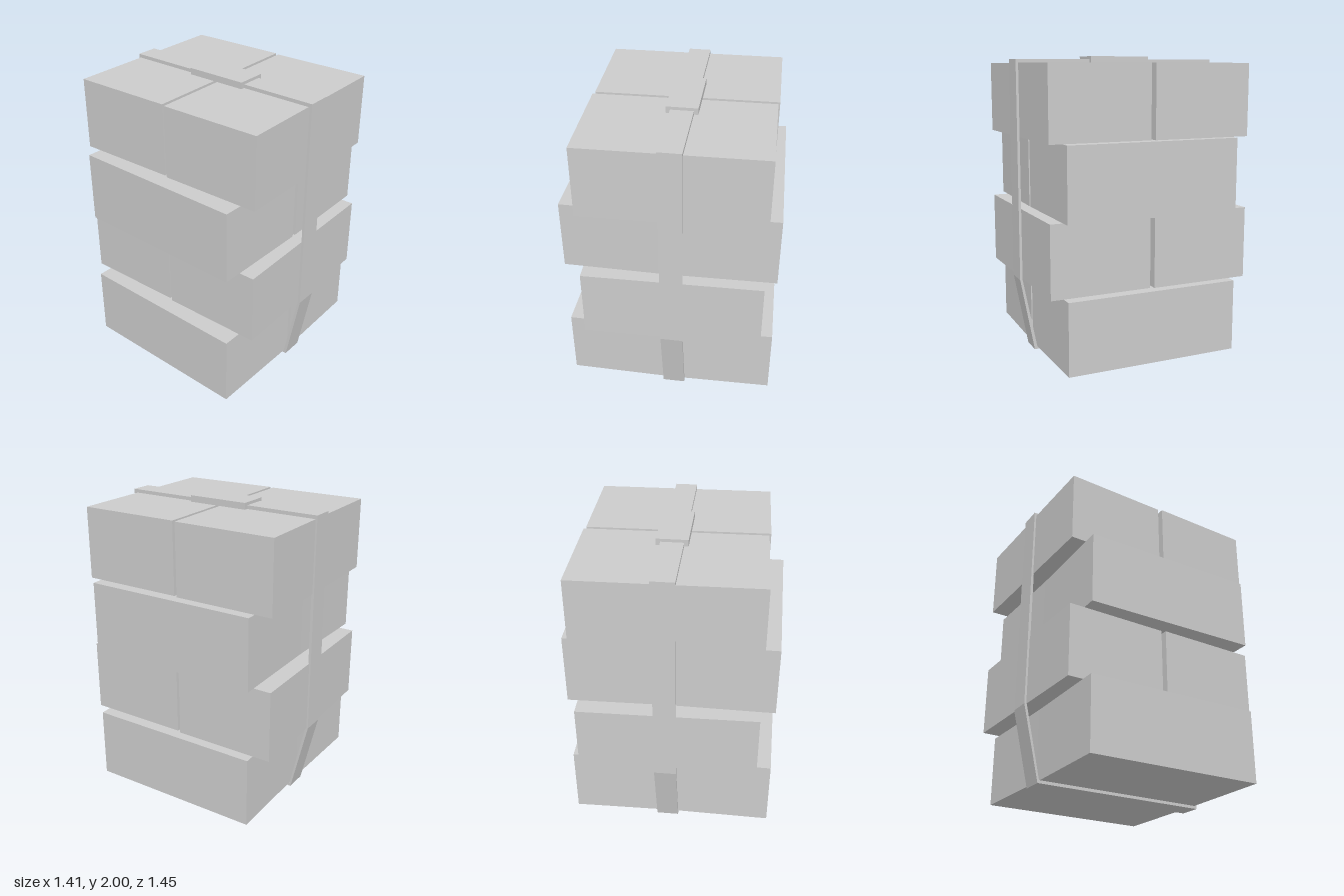
import * as THREE from 'three';

const material = new THREE.MeshStandardMaterial({ color: 0xcccccc, flatShading: true });

export function createModel() {
  const group = new THREE.Group();
  group.name = 'strappedBlockStack';

  const add = (name, geometry, x = 0, y = 0, z = 0, turn = 0) => {
    const mesh = new THREE.Mesh(geometry, material);
    mesh.name = name;
    mesh.position.set(x, y, z);
    mesh.rotation.y = turn;
    group.add(mesh);
  };

  // Four layers of paired blocks, alternating direction, each slightly askew
  const layerHeight = 0.484, base = 0.02, tilt = 0.0165;
  const block = new THREE.BoxGeometry(1.2, layerHeight, 0.69);
  for (let i = 0; i < 4; i++) {
    const y = base + layerHeight * (i + 0.5);
    if (i % 2 === 0) {
      add('leftBlock', block, 0.346, y, 0.008, Math.PI / 2 + tilt);
      add('rightBlock', block, -0.35, y, 0.008, Math.PI / 2 - tilt);
    } else {
      add('frontBlock', block, 0.018, y, 0.354, tilt);
      add('backBlock', block, 0.018, y, -0.362, tilt);
    }
  }

  // Strap: closed loop in the z-y plane, extruded across its width
  const points = (list) => list.map(([z, y]) => new THREE.Vector2(z, y));
  const loop = new THREE.Shape(points([
    [0.63, 0], [0.725, 0.505], [0.725, 1.98], [-0.72, 1.98], [-0.72, 0.505], [-0.602, 0],
  ]));
  loop.holes.push(new THREE.Path(points([
    [0.612, 0.02], [0.708, 0.505], [0.708, 1.956], [-0.702, 1.956], [-0.702, 0.505], [-0.592, 0.02],
  ])));
  const strap = new THREE.ExtrudeGeometry(loop, { depth: 0.15, bevelEnabled: false });
  strap.rotateY(-Math.PI / 2);
  add('strap', strap, 0.1);

  // Buckle plate on top
  add('buckle', new THREE.BoxGeometry(0.206, 0.044, 0.426), 0.025, 1.978, -0.002);

  return group;
}
